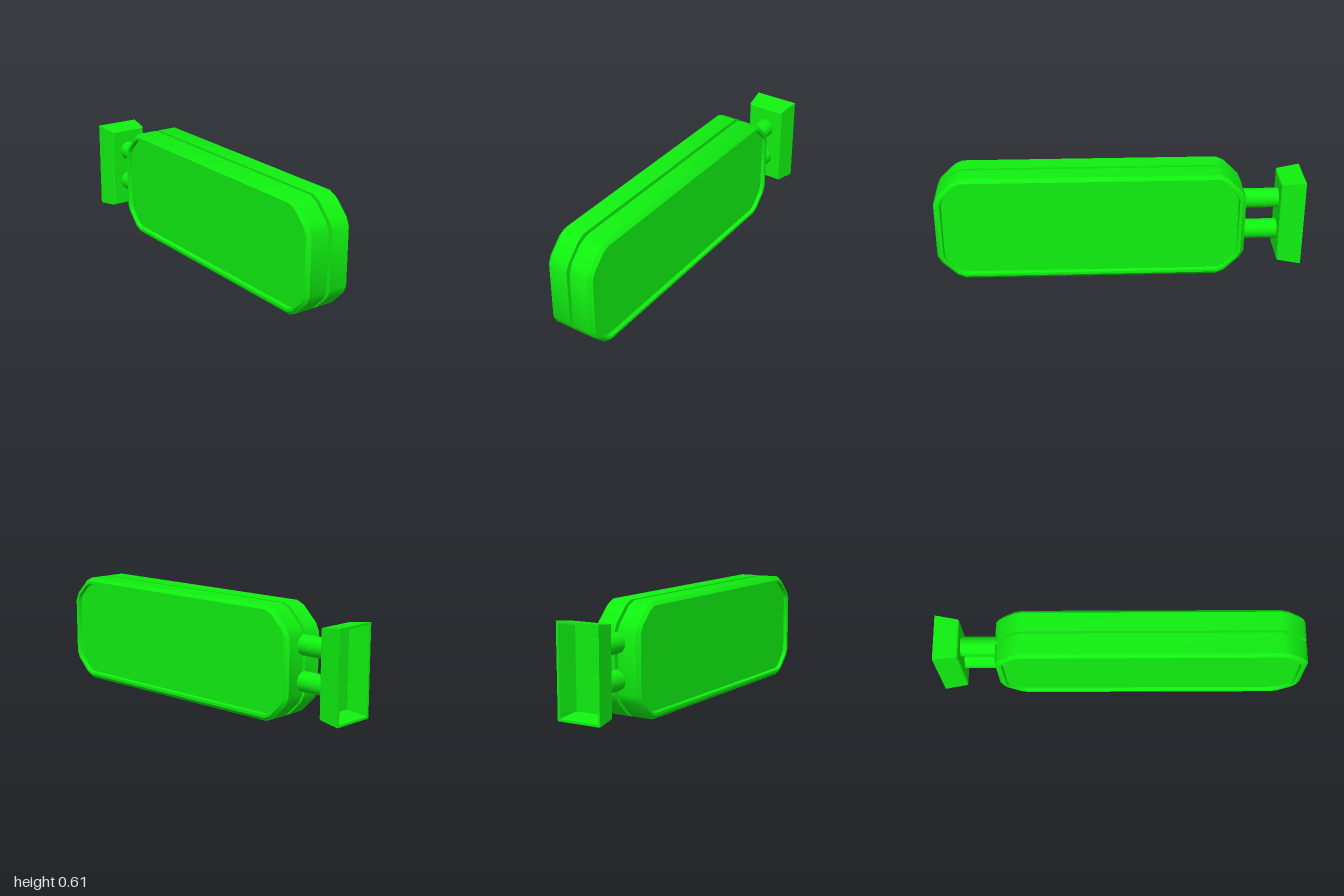
import * as THREE from 'three';
import { toCreasedNormals } from 'three/addons/utils/BufferGeometryUtils.js';

// Counter-clockwise rectangle outline at depth z; c > 0 cuts and softens the corners
function outline(hw, hh, c, z) {
  const cuts = c > 0
    ? [[0, c], [0.14 * c, 0.7 * c], [0.7 * c, 0.14 * c], [c, 0]]
    : [[0, 0]];
  const ring = [];
  for (const [sx, sy] of [[1, 1], [-1, 1], [-1, -1], [1, -1]]) {
    const corner = cuts.map(([dx, dy]) => [sx * (hw - dx), sy * (hh - dy), z]);
    ring.push(...(sx * sy > 0 ? corner : corner.reverse()));
  }
  return ring;
}

// Skins a closed stack of outlines and caps both ends
function loft(rings) {
  const n = rings[0].length;
  const index = [];
  for (let k = 0; k < rings.length - 1; k++) {
    for (let i = 0; i < n; i++) {
      const j = (i + 1) % n;
      const a = k * n + i, b = k * n + j;
      index.push(a, b, b + n, a, b + n, a + n);
    }
  }
  const last = (rings.length - 1) * n;
  for (let i = 1; i < n - 1; i++) {
    index.push(0, i + 1, i);
    index.push(last, last + i, last + i + 1);
  }
  const geo = new THREE.BufferGeometry();
  geo.setAttribute('position', new THREE.Float32BufferAttribute(rings.flat(2), 3));
  geo.setIndex(index);
  return toCreasedNormals(geo, 0.6);
}

export function createModel() {
  const group = new THREE.Group();
  const green = new THREE.MeshStandardMaterial({ color: 0x10f010 });
  const add = (name, geo, x, y) => {
    const mesh = new THREE.Mesh(geo, green);
    mesh.name = name;
    mesh.position.set(x, y, 0);
    group.add(mesh);
    return mesh;
  };

  // Sign body: recessed faces, bevelled rims and a groove around the middle
  const half = [[0.03, 0.01], [0, 0.01], [0, 0.117], [0.02, 0.135], [0.035, 0.135], [0.04, 0.115]];
  const profile = [...half.map(([inset, z]) => [inset, -z]).reverse(), ...half];
  const body = profile.map(([inset, z]) => outline(0.84 - inset, 0.304 - inset, 0.147 - inset, z));
  add('signBody', loft(body), 0.16, 0.304);

  // Hollow tapered wall bracket, open towards the wall
  const bracket = [
    [0.096, 0.216, 0.112],
    [0.114, 0.235, 0],
    [0.126, 0.247, 0],
    [0.108, 0.232, 0.124],
    [0.102, 0.226, 0.13],
  ].map(([hw, hh, z]) => outline(hw, hh, 0, z));
  add('wallBracket', loft(bracket), -1, 0.304).rotation.y = Math.PI / 2;

  // Two round arms joining bracket and sign
  for (const [name, y] of [['upperArm', 0.408], ['lowerArm', 0.217]]) {
    const arm = new THREE.CylinderGeometry(0.054, 0.054, 0.25, 32).rotateZ(Math.PI / 2);
    add(name, arm, -0.77, y);
  }
  return group;
}
